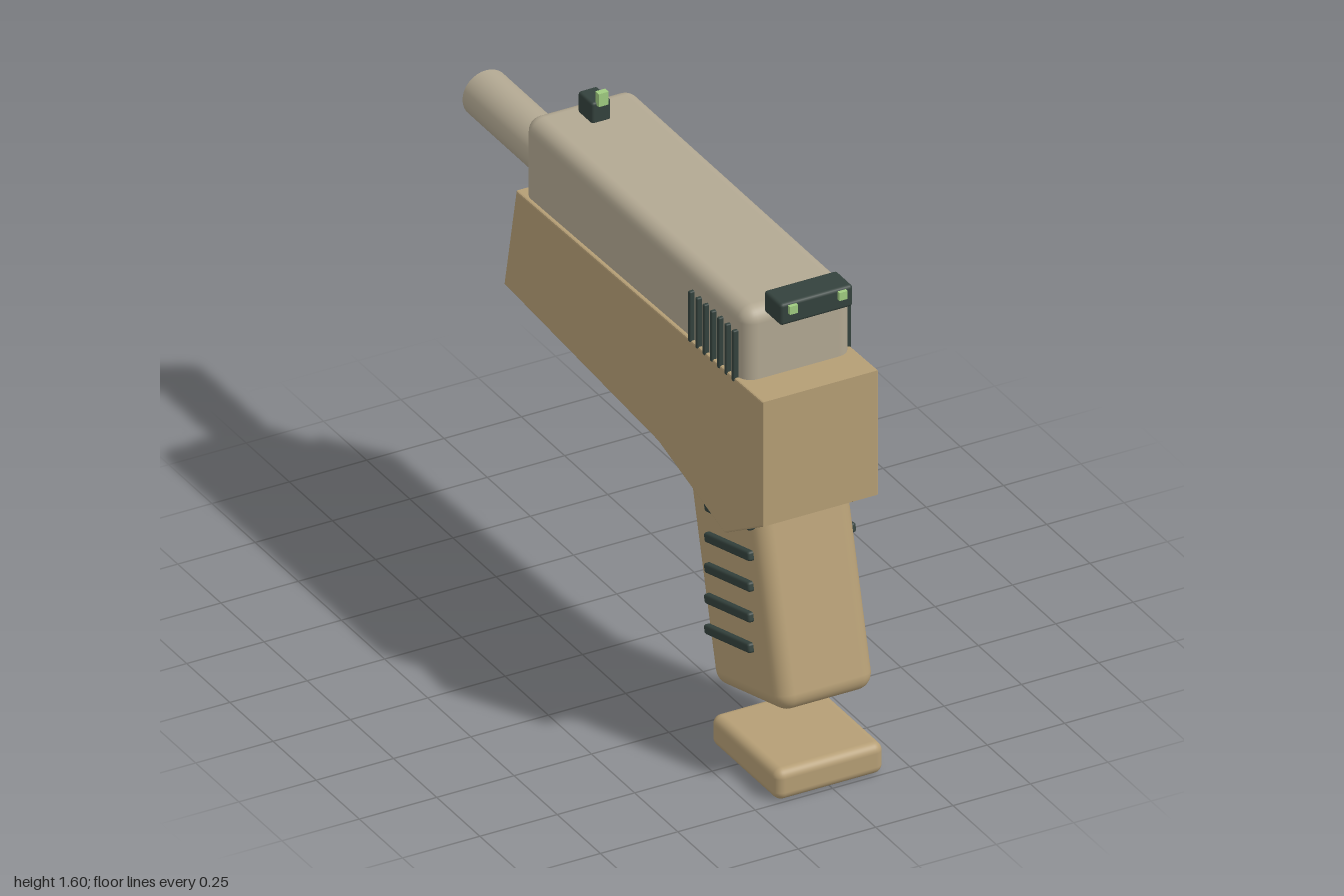
import * as THREE from 'three';
import { RoundedBoxGeometry } from 'three/addons/geometries/RoundedBoxGeometry.js';

const material = (color) => new THREE.MeshStandardMaterial({ color });

export function createModel() {
  const model = new THREE.Group();
  const body = new THREE.Group();
  body.name = 'body';
  body.position.x = -0.005;
  model.add(body);

  const tan = material(0xb59e75);
  const stone = material(0xb2a892);
  const dark = material(0x34423d);
  const steel = material(0x64736d);
  const green = material(0xa0cc80);

  const add = (name, geometry, mat, x, y, z, tilt = 0) => {
    const mesh = new THREE.Mesh(geometry, mat);
    mesh.name = name;
    mesh.position.set(x, y, z);
    mesh.rotation.x = tilt;
    body.add(mesh);
    return mesh;
  };
  const rounded = (w, h, d, r, segments = 4) => new RoundedBoxGeometry(w, h, d, segments, r);
  const box = (w, h, d) => new THREE.BoxGeometry(w, h, d);

  // Frame: side profile (z, y) extruded across the width
  const bevel = 0.005;
  const profile = new THREE.Shape([
    [0.935, 1.278], [0.935, 0.88], [0.718, 0.75], [0.335, 0.855], [-0.553, 0.914], [-0.484, 1.245],
  ].map(([z, y]) => new THREE.Vector2(z, y)));
  const frameGeometry = new THREE.ExtrudeGeometry(profile, {
    depth: 0.375 - 2 * bevel, bevelSize: bevel, bevelThickness: bevel, bevelSegments: 2,
  });
  frameGeometry.translate(0, 0, -0.1875 + bevel);
  frameGeometry.rotateY(-Math.PI / 2);
  add('frame', frameGeometry, tan, 0, 0, 0);

  // Slide and barrel
  add('slide', rounded(0.35, 0.36, 1.285, 0.045), stone, 0, 1.325, 0.172);
  add('barrel', new THREE.CylinderGeometry(0.075, 0.075, 0.7, 32), stone, 0, 1.255, -0.65, Math.PI / 2);

  // Slide serrations on both sides, ejection port on the left
  for (const side of [-1, 1]) {
    for (let i = 0; i < 7; i++) {
      add('slideSerration', rounded(0.025, 0.165, 0.013, 0.004, 2), dark, side * 0.178, 1.35, 0.77 - i * 0.042);
    }
  }
  add('ejectionPort', rounded(0.03, 0.12, 0.225, 0.006, 2), dark, 0.176, 1.322, 0.26);

  // Sights with bright dots
  add('rearSight', rounded(0.235, 0.07, 0.098, 0.01, 2), dark, 0, 1.535, 0.87);
  for (const x of [-0.08, 0.08]) add('rearSightDot', box(0.026, 0.026, 0.012), green, x, 1.55, 0.924);
  add('frontSight', rounded(0.062, 0.07, 0.083, 0.008, 2), dark, 0, 1.535, -0.37);
  add('frontSightPost', box(0.032, 0.042, 0.02), green, 0, 1.582, -0.326);

  // Raked grip with slanted ribs, and the separate base plate
  const rake = -0.25;
  add('grip', rounded(0.315, 0.79, 0.417, 0.05), tan, 0, 0.612, 0.697, rake);
  for (const side of [-1, 1]) {
    for (let i = 0; i < 5; i++) {
      add('gripRib', rounded(0.025, 0.03, 0.268, 0.008, 2), dark, side * 0.163, 0.388 + i * 0.1, 0.705, rake);
    }
  }
  add('basePlate', rounded(0.35, 0.1, 0.388, 0.028), tan, 0, 0.05, 0.806);

  // Trigger and oval guard, whose ends run into the frame and grip
  add('trigger', rounded(0.045, 0.17, 0.044, 0.008, 2), tan, 0, 0.812, 0.38, -0.33);
  const arc = [];
  for (let i = 0; i <= 24; i++) {
    const a = THREE.MathUtils.lerp(-0.27, 0.97, i / 24) * Math.PI;
    arc.push(new THREE.Vector3(0, 0.752 - 0.16 * Math.sin(a), 0.388 - 0.217 * Math.cos(a)));
  }
  add('triggerGuard', new THREE.TubeGeometry(new THREE.CatmullRomCurve3(arc), 48, 0.019, 12), steel, 0, 0, 0);

  // Slotted pin
  const pin = add('pin', new THREE.CylinderGeometry(0.02, 0.02, 0.016, 20), steel, 0.19, 1.025, 0.72);
  pin.rotation.z = Math.PI / 2;
  add('pinSlot', box(0.012, 0.008, 0.042), dark, 0.196, 1.025, 0.72);

  return model;
}
